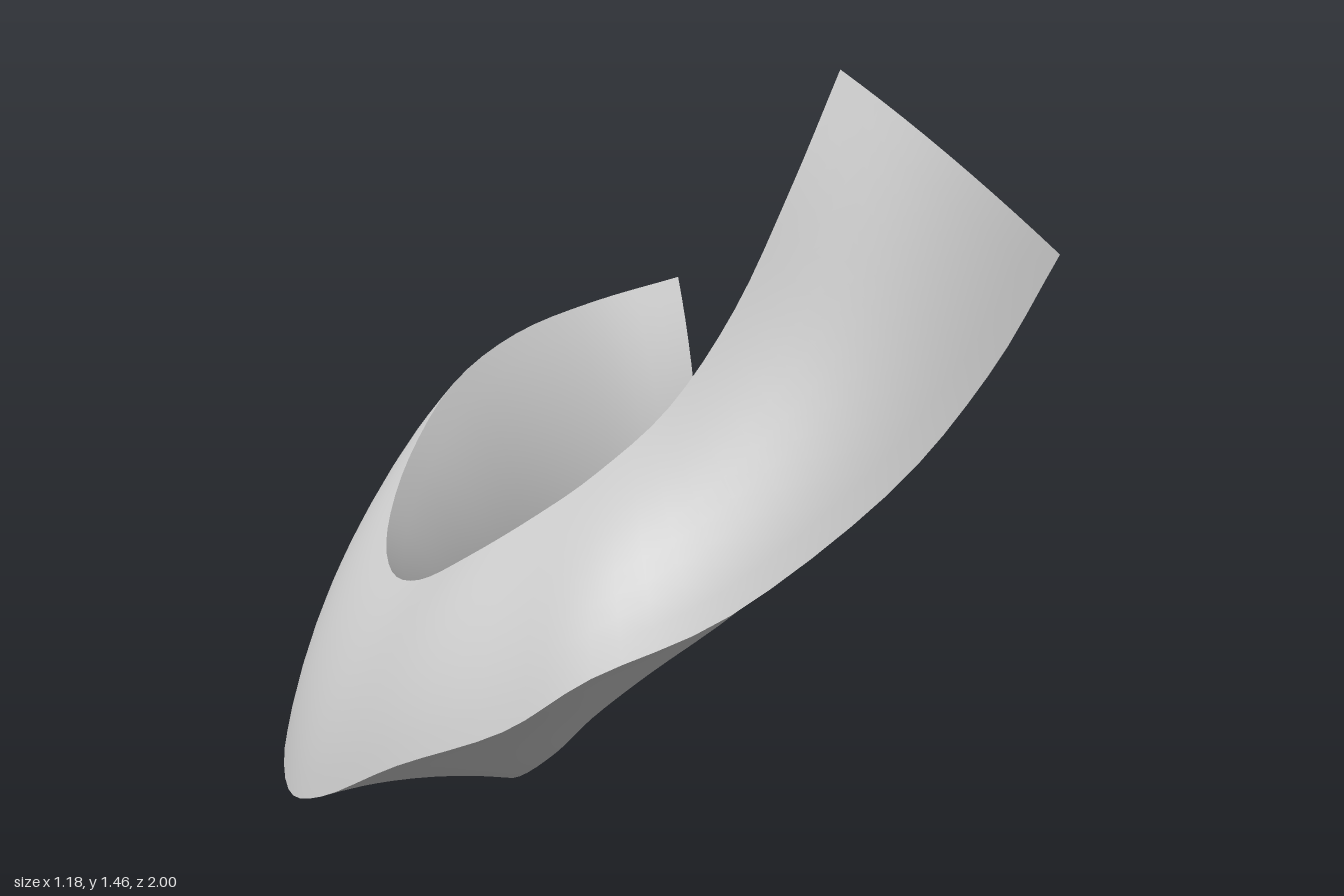
import * as THREE from 'three';

const material = new THREE.MeshStandardMaterial({ color: 0xcccccc, side: THREE.DoubleSide });
const V = (x, y, z) => new THREE.Vector3(x, y, z);
const STEPS = 56;   // sections along the sweep
const ACROSS = 10;  // divisions across one side

// Back half: a quarter turn around x = 0.42, rising toward the rear end
function quarterRail(radius, heights) {
  return heights.map((y, i) => {
    const a = ((6 - i) / 6) * Math.PI / 2;
    return V(0.42 - radius * 1.015 * Math.cos(a), y, -radius * Math.sin(a));
  });
}

// The three edges of the band: back quarter turn, then the rising, twisting front half
function makeRails() {
  const outer = quarterRail(1, [0.435, 0.39, 0.335, 0.255, 0.135, 0.035, 0]);
  const inner = quarterRail(0.58, [0.37, 0.305, 0.235, 0.155, 0.075, 0.02, 0]);
  const ridge = quarterRail(0.79, [0.86, 0.815, 0.765, 0.685, 0.565, 0.465, 0.43]);
  outer.push(V(-0.56, 0.055, 0.21), V(-0.46, 0.2, 0.48), V(-0.31, 0.32, 0.69), V(-0.18, 0.44, 0.8),
    V(0.04, 0.56, 0.885), V(0.29, 0.77, 0.95), V(0.45, 0.97, 0.98), V(0.56, 1.17, 1));
  inner.push(V(-0.155, 0.03, 0.12), V(-0.11, 0.12, 0.25), V(-0.06, 0.21, 0.33), V(0.03, 0.31, 0.4),
    V(0.2, 0.45, 0.46), V(0.38, 0.63, 0.51), V(0.5, 0.85, 0.55), V(0.59, 1.12, 0.575));
  ridge.push(V(-0.36, 0.46, 0.18), V(-0.3, 0.55, 0.36), V(-0.2, 0.65, 0.48), V(-0.11, 0.74, 0.56),
    V(0, 0.87, 0.64), V(0.095, 1.05, 0.71), V(0.175, 1.26, 0.76), V(0.25, 1.46, 0.785));
  return [outer, ridge, inner].map((points) => new THREE.CatmullRomCurve3(points, false, 'catmullrom', 0.5));
}

// One bowed side of a section; a negative bulge bends it inward
function bowedSide(from, to, opposite, bulge) {
  const out = from.clone().lerp(to, 0.5).sub(opposite).normalize();
  const side = [];
  for (let j = 0; j <= ACROSS; j++) {
    const t = j / ACROSS;
    side.push(from.clone().lerp(to, t).addScaledVector(out, bulge * 4 * t * (1 - t)));
  }
  return side;
}

function makeMesh(name, points, index) {
  const geometry = new THREE.BufferGeometry().setFromPoints(points);
  geometry.setIndex(index);
  geometry.computeVertexNormals();
  const mesh = new THREE.Mesh(geometry, material);
  mesh.name = name;
  return mesh;
}

// Smooth surface through rows of equal length
function skin(name, rows) {
  const n = rows[0].length;
  const index = [];
  for (let i = 0; i < rows.length - 1; i++) {
    for (let j = 0; j < n - 1; j++) {
      const a = i * n + j, b = a + n;
      index.push(a, b, a + 1, b, b + 1, a + 1);
    }
  }
  return makeMesh(name, rows.flat(), index);
}

// Flat end face as a fan around the middle of the section
function endCap(name, loop, reversed) {
  const centre = loop.reduce((sum, p) => sum.add(p), V(0, 0, 0)).divideScalar(loop.length);
  const n = loop.length;
  const index = [];
  for (let j = 0; j < n; j++) {
    const next = (j + 1) % n;
    index.push(n, reversed ? next : j, reversed ? j : next);
  }
  return makeMesh(name, [...loop, centre], index);
}

export function createModel() {
  const model = new THREE.Group();
  model.name = 'twistedArchBand';
  const [outer, ridge, inner] = makeRails();

  // Pointed-arch sections: two outward bowed sides and a slightly hollow base
  const sections = [];
  for (let i = 0; i <= STEPS; i++) {
    const [o, r, n] = [outer, ridge, inner].map((rail) => rail.getPoint(i / STEPS));
    sections.push([
      bowedSide(o, r, n, 0.036),
      bowedSide(r, n, o, 0.036),
      bowedSide(n, o, r, -0.02),
    ]);
  }

  // Each side is its own surface, so the three long edges stay sharp
  ['outerSide', 'innerSide', 'base'].forEach((name, k) => {
    model.add(skin(name, sections.map((section) => section[k])));
  });

  // End faces
  const loopOf = (section) => section.flatMap((side) => side.slice(0, -1));
  model.add(endCap('backEnd', loopOf(sections[0]), false));
  model.add(endCap('frontEnd', loopOf(sections[STEPS]), true));
  return model;
}
